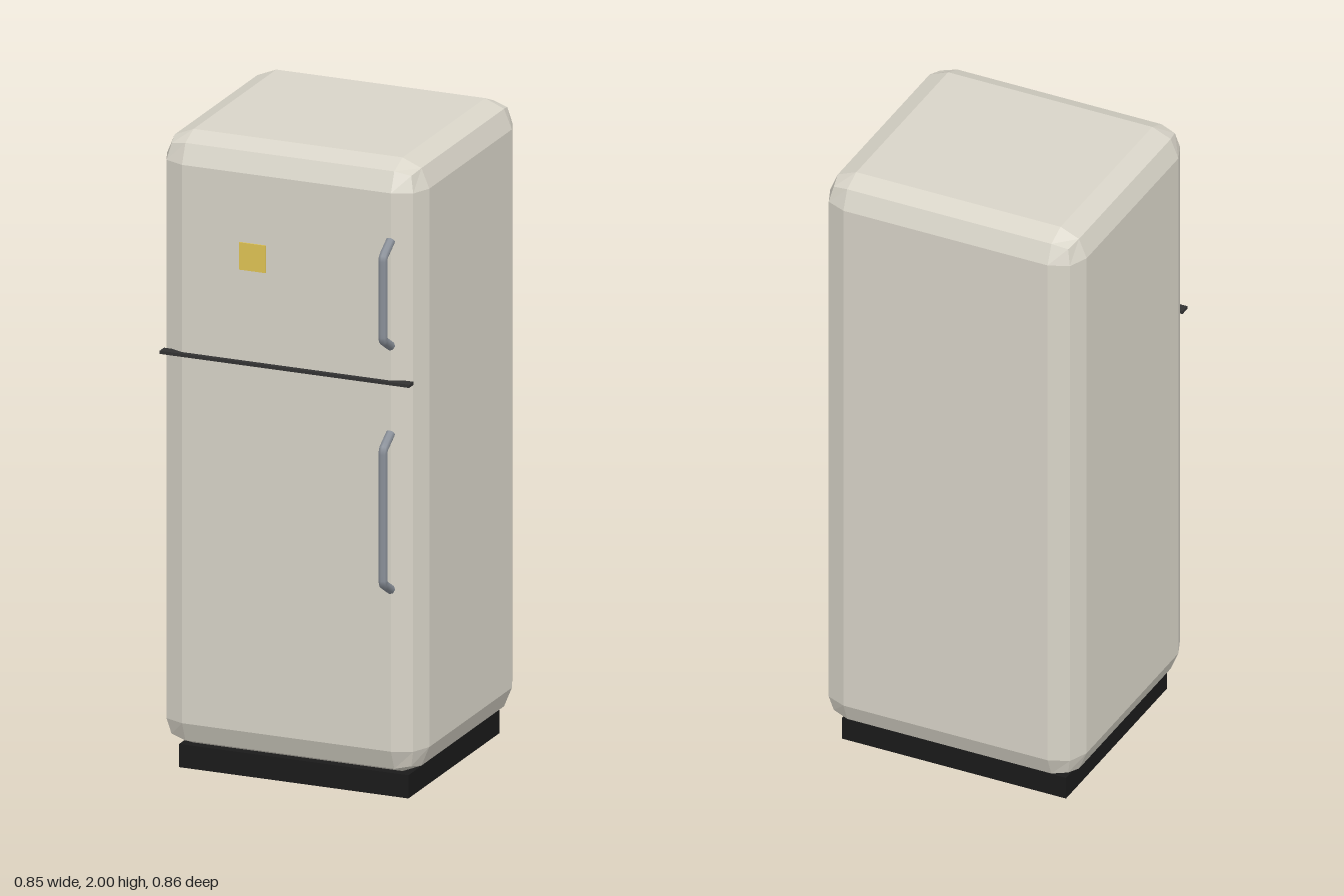
import * as THREE from 'three';
import { RoundedBoxGeometry } from 'three/addons/geometries/RoundedBoxGeometry.js';

export function createModel() {
  const root = new THREE.Group();
  root.name = 'refrigerator';

  const add = (name, geometry, color, x, y, z, flatShading = true) => {
    const material = new THREE.MeshStandardMaterial({ color, flatShading });
    const mesh = new THREE.Mesh(geometry, material);
    mesh.name = name;
    mesh.position.set(x, y, z);
    root.add(mesh);
    return mesh;
  };

  // Cabinet with two-step bevelled edges, on a recessed plinth
  add('cabinet', new RoundedBoxGeometry(0.854, 1.928, 0.79, 1, 0.087), 0xd8d4c8, 0, 1.036, -0.035);
  add('plinth', new THREE.BoxGeometry(0.746, 0.073, 0.678), 0x1a1a1a, 0, 0.0365, -0.034);

  // Dark strip between freezer and fridge doors
  add('doorSeam', new THREE.BoxGeometry(0.812, 0.01, 0.032), 0x333333, 0, 1.32, 0.359);

  // Paper note stuck on the freezer door
  add('note', new THREE.BoxGeometry(0.086, 0.086, 0.007), 0xe0c455, -0.11, 1.653, 0.3605);

  // Bent tube handles: straight grip with slanted ends running into the door
  const handle = (name, bottom, top) => {
    const slant = 0.035, grip = 0.415, foot = 0.358;
    const p = (y, z) => new THREE.Vector3(0, y, z);
    const bend = (y, s) => [p(y + s * 0.006, grip - 0.01), p(y, grip), p(y - s * 0.012, grip)];
    const [a, b, c] = bend(top - slant, 1);
    const [d, e, f] = bend(bottom + slant, -1);
    const path = new THREE.CurvePath();
    path.add(new THREE.LineCurve3(p(top, foot), a));
    path.add(new THREE.QuadraticBezierCurve3(a, b, c));
    path.add(new THREE.LineCurve3(c, f));
    path.add(new THREE.QuadraticBezierCurve3(f, e, d));
    path.add(new THREE.LineCurve3(d, p(bottom, foot)));
    const mesh = add(name, new THREE.TubeGeometry(path, 36, 0.0145, 8), 0x8a9099, 0.338, 0, 0, false);
    mesh.material.side = THREE.DoubleSide;
  };
  handle('freezerHandle', 1.433, 1.763);
  handle('fridgeHandle', 0.668, 1.158);

  return root;
}
